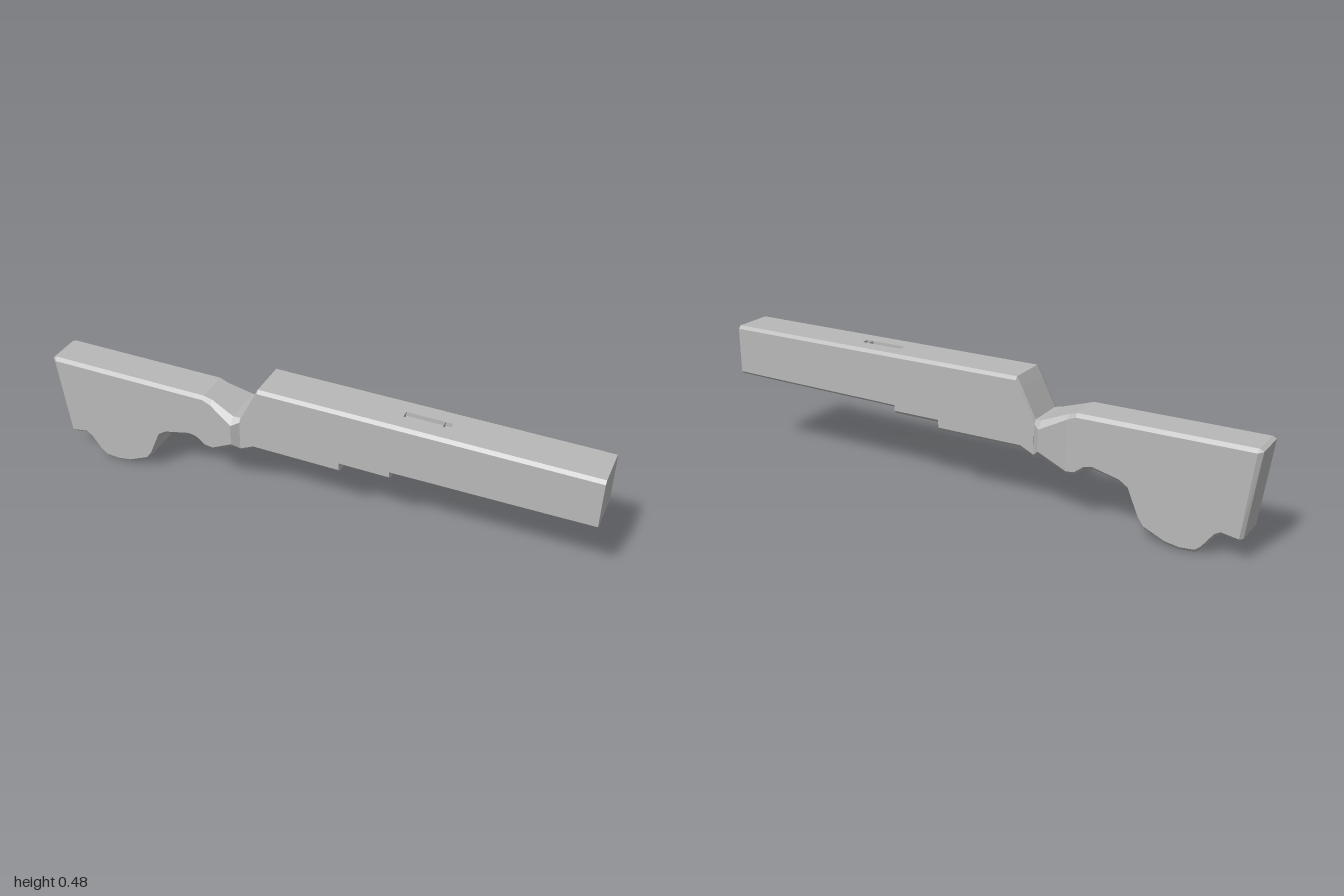
import * as THREE from 'three';

// Chamfered eight-sided section: station = [xBottom, yBottom, xTop, yTop, halfWidth, topBevel, bottomBevel]
function section([xb, yb, xt, yt, h, bt, bb]) {
  const half = [[h - bt, yt], [h, yt - bt], [h, yb + bb], [h - bb, yb]];
  const loop = half.concat(half.slice().reverse().map(([z, y]) => [-z, y]));
  return loop.map(([z, y]) => new THREE.Vector3(xb + (xt - xb) * (y - yb) / (yt - yb), y, z));
}

// Flat-faced loft along x; a slot recesses one strip of one segment
function loft(stations, slots = []) {
  const rings = stations.map(section);
  const pos = [];
  const tri = (...pts) => pts.forEach((p) => pos.push(p.x, p.y, p.z));
  const quad = (a, b, c, d) => { tri(a, b, c); tri(a, c, d); };
  for (let i = 0; i < rings.length - 1; i++) {
    for (let k = 0; k < 8; k++) {
      const n = (k + 1) % 8;
      const q = [rings[i][n], rings[i + 1][n], rings[i + 1][k], rings[i][k]];
      const slot = slots.find((s) => s.segment === i && s.strip === k);
      if (!slot) { quad(...q); continue; }
      const rim = q.map((p) => new THREE.Vector3(p.x, p.y, Math.sign(p.z) * slot.half));
      const floor = rim.map((p) => new THREE.Vector3(p.x, p.y + slot.dy, p.z));
      quad(q[0], q[1], rim[1], rim[0]);
      quad(rim[3], rim[2], q[2], q[3]);
      quad(...floor);
      for (let e = 0; e < 4; e++) {
        const f = (e + 1) % 4;
        quad(rim[e], rim[f], floor[f], floor[e]);
      }
    }
  }
  const first = rings[0], last = rings[rings.length - 1];
  for (let k = 1; k < 7; k++) {
    tri(first[0], first[k + 1], first[k]);
    tri(last[0], last[k], last[k + 1]);
  }
  const geo = new THREE.BufferGeometry();
  geo.setAttribute('position', new THREE.Float32BufferAttribute(pos, 3));
  geo.computeVertexNormals();
  return geo;
}

export function createModel() {
  const group = new THREE.Group();
  const grey = new THREE.MeshStandardMaterial({ color: 0xb8b8b8, flatShading: true });
  grey.name = 'plain grey';
  const add = (name, geo) => {
    const mesh = new THREE.Mesh(geo, grey);
    mesh.name = name;
    group.add(mesh);
  };

  // Rear stock: chamfered butt, wavy grip underside, flared neck
  const underside = [
    [-0.89, 0.085], [-0.87, 0.073], [-0.83, 0.02], [-0.81, 0.004], [-0.76, 0], [-0.71, 0.008],
    [-0.635, 0.042], [-0.615, 0.07], [-0.575, 0.165], [-0.545, 0.185], [-0.45, 0.208], [-0.42, 0.203],
  ];
  const w = 0.073, c = 0.012;
  add('stock', loft([
    [-0.96, 0.085, -1, 0.383, 0.061, 0.001, 0.001],
    [-0.948, 0.075, -0.986, 0.39, w, c, c],
    ...underside.map(([x, y]) => [x, y, x, 0.39, w, c, c]),
    [-0.385, 0.176, -0.385, 0.39, w, c, c],
    [-0.355, 0.173, -0.355, 0.38, w, 0.015, c],
    [-0.265, 0.212, -0.265, 0.347, 0.1, 0.025, 0.033],
    [-0.24, 0.21, -0.24, 0.343, 0.08, 0.012, 0.012],
  ]));

  // Long body: sloped rear, stepped underside, one slot above and one below
  const body = (x, yb, yt = 0.48, bb = 0.012) => [x, yb, x, yt, 0.081, 0.011, bb];
  add('body', loft([
    body(-0.24, 0.21, 0.343),
    body(-0.19, 0.234, 0.443),
    body(-0.17, 0.234),
    body(0.13, 0.234),
    body(0.13, 0.262),
    body(0.31, 0.262),
    body(0.31, 0.286, 0.48, 0.009),
    body(0.325, 0.286, 0.48, 0.009),
    body(0.46, 0.288, 0.48, 0.009),
    body(0.485, 0.288, 0.48, 0.009),
    body(0.885, 0.293, 0.48, 0.009),
    body(1, 0.295, 0.48, 0.009),
  ], [
    { segment: 7, strip: 7, half: 0.014, dy: -0.015 },
    { segment: 8, strip: 7, half: 0.014, dy: -0.015 },
    { segment: 8, strip: 3, half: 0.033, dy: 0.02 },
    { segment: 9, strip: 3, half: 0.033, dy: 0.02 },
  ]));

  return group;
}
